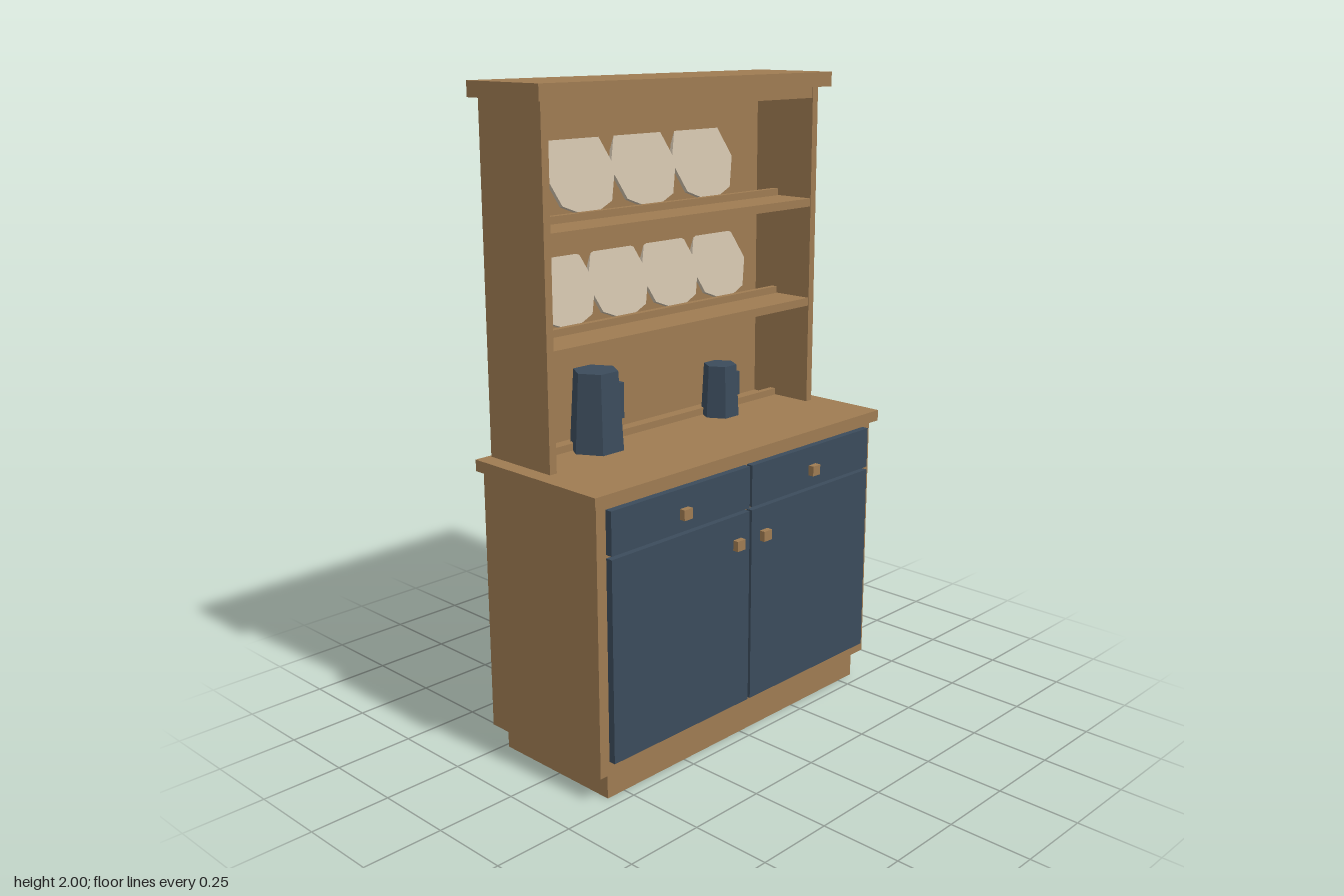
import * as THREE from 'three';

const mat = (name, color) => {
  const m = new THREE.MeshStandardMaterial({ color });
  m.name = name;
  return m;
};

export function createModel() {
  const wood = mat('wood', 0x9e7b52);
  const paint = mat('bluePaint', 0x3b4b5b);
  const cream = mat('creamChina', 0xc8baa5);
  const model = new THREE.Group();
  model.name = 'dresser';

  // Box given by its extents on each axis
  const box = (name, material, [x0, x1], [y0, y1], [z0, z1], parent = model) => {
    const mesh = new THREE.Mesh(new THREE.BoxGeometry(x1 - x0, y1 - y0, z1 - z0), material);
    mesh.position.set((x0 + x1) / 2, (y0 + y1) / 2, (z0 + z1) / 2);
    mesh.name = name;
    parent.add(mesh);
    return mesh;
  };

  // Base cabinet
  box('plinth', wood, [-0.565, 0.565], [0, 0.085], [-0.235, 0.21]);
  box('cabinet', wood, [-0.605, 0.605], [0.083, 0.895], [-0.255, 0.225]);
  box('counter', wood, [-0.625, 0.625], [0.895, 0.93], [-0.265, 0.245]);

  // Doors, drawers and their knobs
  for (const [side, s] of [['left', 1], ['right', -1]]) {
    const span = [0.005, 0.57].map((v) => v * s).sort((a, b) => a - b);
    box(side + 'Door', paint, span, [0.125, 0.74], [0.22, 0.247]);
    box(side + 'Drawer', paint, span, [0.75, 0.88], [0.22, 0.247]);
    for (const [part, x, y] of [['DrawerKnob', 0.287, 0.805], ['DoorKnob', 0.06, 0.65]]) {
      box(side + part, wood, [s * x - 0.017, s * x + 0.017], [y - 0.016, y + 0.016], [0.245, 0.266]);
    }
  }

  // Upper rack: sides, back, cornice
  for (const [side, s] of [['left', 1], ['right', -1]]) {
    box(side + 'RackSide', wood, [s * 0.5625 - 0.0125, s * 0.5625 + 0.0125], [0.93, 1.955], [-0.255, 0.005]);
  }
  box('backPanel', wood, [-0.55, 0.55], [0.93, 1.955], [-0.255, -0.225]);
  box('topBoard', wood, [-0.55, 0.55], [1.92, 1.955], [-0.225, 0.003]);
  box('cornice', wood, [-0.605, 0.605], [1.955, 2], [-0.265, 0.035]);

  // Shelves, each level with a plate rail
  for (const y of [1.28, 1.604]) {
    box('shelf', wood, [-0.55, 0.55], [y - 0.026, y], [-0.225, 0.003]);
  }
  for (const y of [0.93, 1.28, 1.604]) {
    box('plateRail', wood, [-0.547, 0.547], [y, y + 0.022], [-0.15, -0.13]);
  }

  // Octagonal plates leaning on the back panel
  const plateRow = (count, spacing, radius, y) => {
    const geometry = new THREE.CylinderGeometry(radius, radius, 0.012, 8).toNonIndexed();
    geometry.rotateY(Math.PI / 2).rotateX(Math.PI / 2 - 0.3);
    geometry.computeVertexNormals();
    for (let i = 0; i < count; i++) {
      const plate = new THREE.Mesh(geometry, cream);
      plate.name = 'plate';
      plate.position.set((i - (count - 1) / 2) * spacing, y, -0.203);
      model.add(plate);
    }
  };
  plateRow(3, 0.257, 0.137, 1.735);
  plateRow(4, 0.222, 0.126, 1.4);

  // Six-sided tapered jugs with a block handle
  const jug = (x, bottom, top, height, handleX, handleY) => {
    const group = new THREE.Group();
    group.name = 'jug';
    const geometry = new THREE.CylinderGeometry(top, bottom, height, 6).toNonIndexed();
    geometry.rotateY(Math.PI / 2);
    geometry.computeVertexNormals();
    const body = new THREE.Mesh(geometry, paint);
    body.name = 'jugBody';
    body.position.y = height / 2;
    group.add(body);
    box('jugHandle', paint, handleX, handleY, [-0.014, 0.014], group);
    group.position.set(x, 0.93, -0.095);
    model.add(group);
  };
  jug(-0.305, 0.084, 0.069, 0.24, [0.06, 0.1], [0.077, 0.187]);
  jug(0.233, 0.062, 0.053, 0.167, [0.045, 0.078], [0.054, 0.131]);

  return model;
}
